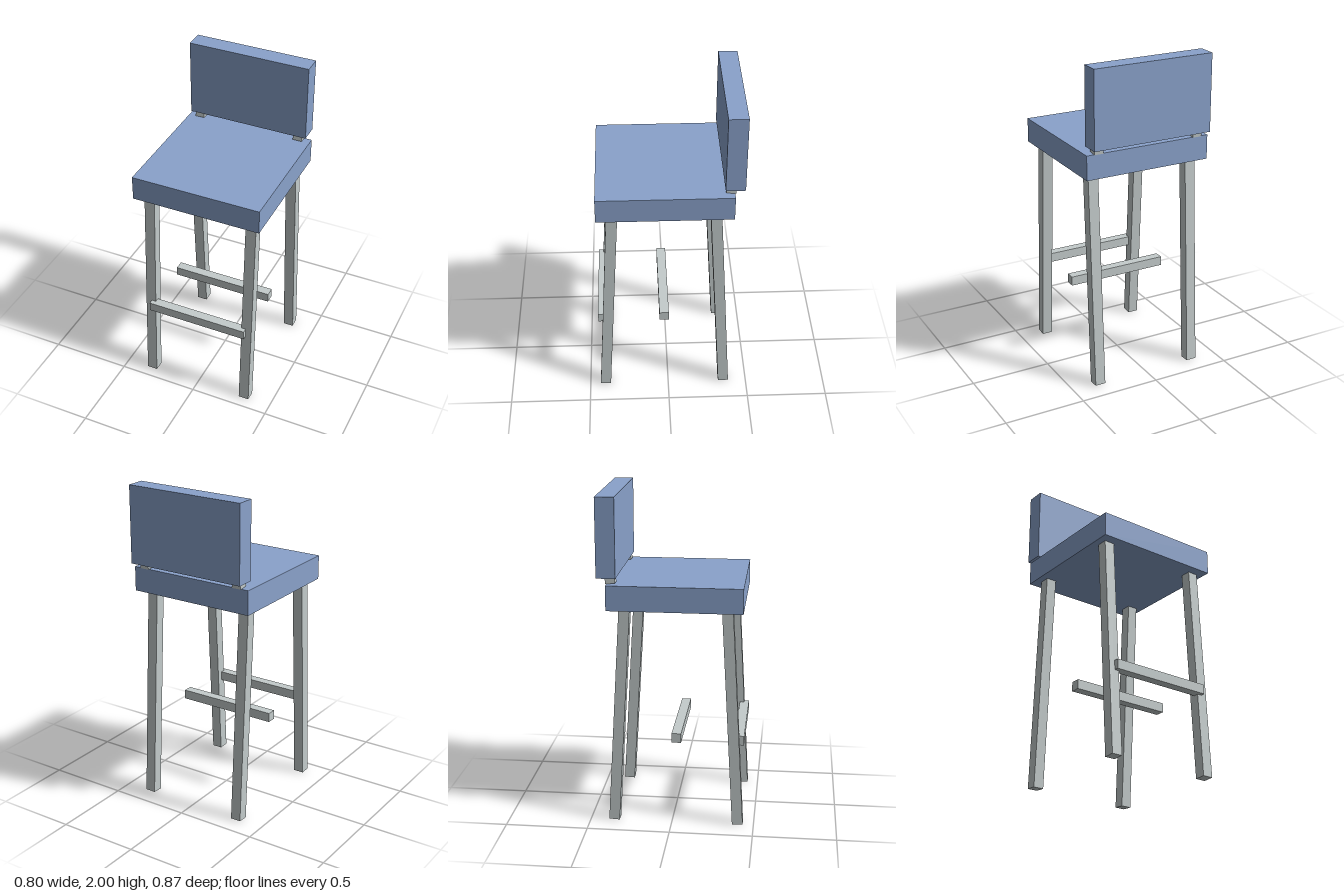
import * as THREE from 'three';

export function createModel() {
  const model = new THREE.Group();
  model.name = 'barStool';

  const upholstery = new THREE.MeshStandardMaterial({ color: 0x8aa2cb });
  upholstery.name = 'blue upholstery';
  const frame = new THREE.MeshStandardMaterial({ color: 0xc4cccc });
  frame.name = 'pale grey frame';

  // Axis-aligned block given by its size and centre
  function block(name, material, size, centre) {
    const mesh = new THREE.Mesh(new THREE.BoxGeometry(...size), material);
    mesh.name = name;
    mesh.position.set(...centre);
    model.add(mesh);
    return mesh;
  }

  // Square bar leaning in the yz plane, from (y0, z0) up to (y1, z1)
  function leaningBar(name, x, width, y0, z0, y1, z1) {
    const length = Math.hypot(y1 - y0, z1 - z0);
    const bar = block(name, frame, [width, length, width], [x, (y0 + y1) / 2, (z0 + z1) / 2]);
    bar.rotation.x = Math.atan2(z1 - z0, y1 - y0);
  }

  // Cushions
  block('seat', upholstery, [0.8, 0.15, 0.8], [0, 1.415, 0.02]);
  block('backrest', upholstery, [0.76, 0.473, 0.114], [0, 1.7635, -0.38]);

  // Splayed legs and the short posts carrying the backrest
  for (const [side, sign] of [['left', 1], ['right', -1]]) {
    const x = sign * 0.325;
    leaningBar(side + 'FrontLeg', x, 0.065, 0.002, 0.402, 1.36, 0.326);
    leaningBar(side + 'BackLeg', x, 0.065, 0.002, -0.355, 1.36, -0.277);
    leaningBar(side + 'BackPost', x, 0.057, 1.492, -0.357, 1.7, -0.382);
  }

  // Footrest and middle rung
  block('footrest', frame, [0.64, 0.058, 0.058], [0, 0.537, 0.404]);
  block('middleRung', frame, [0.64, 0.058, 0.058], [0, 0.537, 0.024]);

  return model;
}
